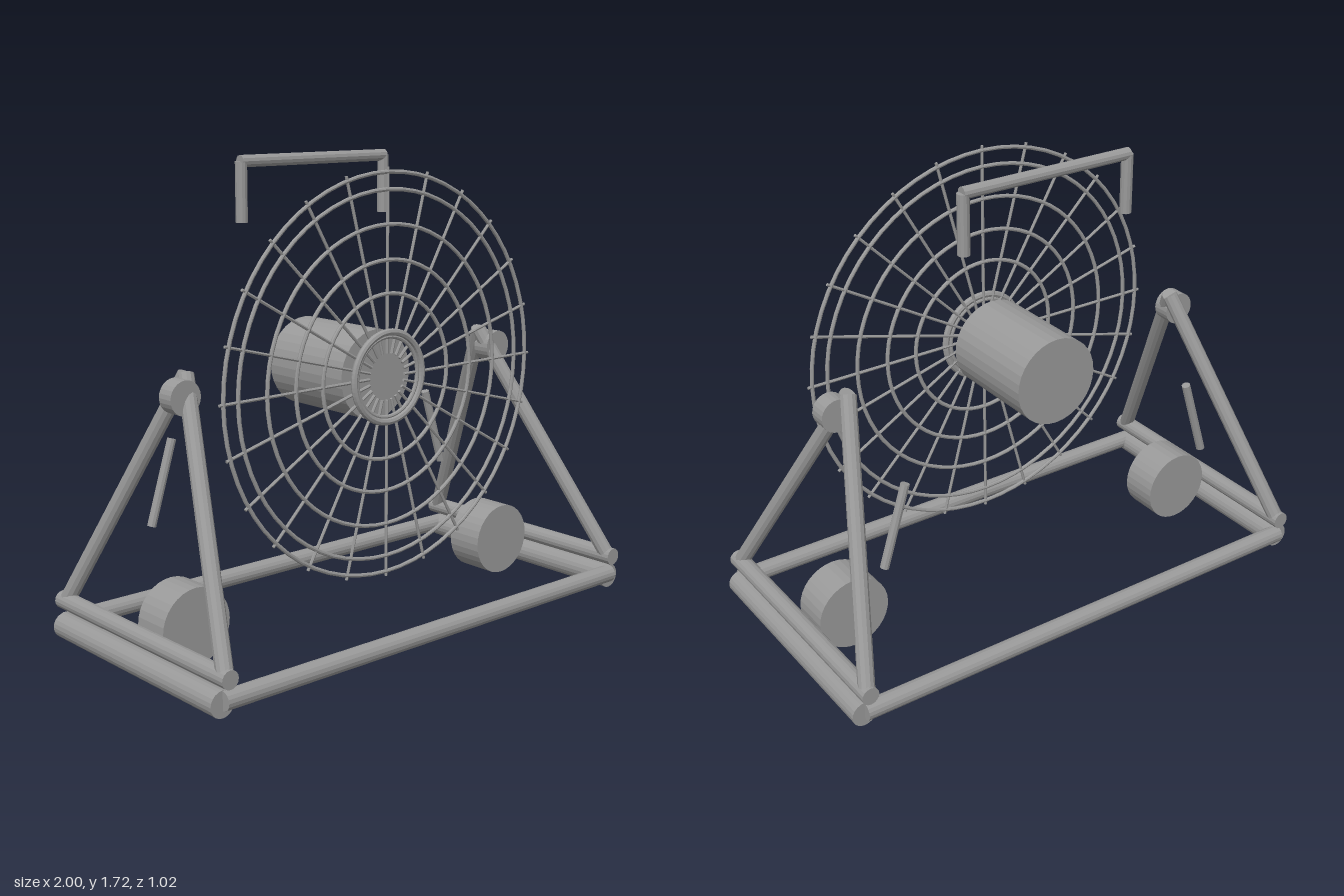
import * as THREE from 'three';

export function createModel() {
  const model = new THREE.Group();
  model.name = 'drumFan';
  const metal = new THREE.MeshStandardMaterial({ color: 0x999999 });
  metal.name = 'grey metal';
  metal.flatShading = true;
  const UP = new THREE.Vector3(0, 1, 0);

  // Straight round bar between two points
  function bar(name, a, b, radius, sides = 12, parent = model) {
    const from = new THREE.Vector3(...a), to = new THREE.Vector3(...b);
    const dir = to.clone().sub(from);
    const mesh = new THREE.Mesh(new THREE.CylinderGeometry(radius, radius, dir.length(), sides), metal);
    mesh.name = name;
    mesh.position.copy(from).add(to).multiplyScalar(0.5);
    mesh.quaternion.setFromUnitVectors(UP, dir.normalize());
    parent.add(mesh);
    return mesh;
  }

  // Floor frame: long bars at front and back
  for (const z of [-0.475, 0.475]) {
    bar(z > 0 ? 'frontBaseTube' : 'backBaseTube', [-0.952, 0.06, z], [0.952, 0.06, z], 0.034, 16);
  }

  // Side assemblies, mirrored
  for (const s of [-1, 1]) {
    const side = new THREE.Group();
    side.name = s > 0 ? 'leftStand' : 'rightStand';
    model.add(side);
    bar('footTube', [s * 0.953, 0.049, -0.475], [s * 0.953, 0.049, 0.475], 0.047, 20, side);
    bar('sideRail', [s * 0.941, 0.136, -0.503], [s * 0.941, 0.136, 0.503], 0.033, 16, side);
    for (const z of [-0.475, 0.475]) {
      bar('standLeg', [s * 0.941, 0.136, z], [s * 0.712, 1.005, -0.03], 0.03, 12, side);
    }
    bar('pivotKnob', [s * 0.757, 0.938, -0.035], [s * 0.757, 0.938, 0.033], 0.062, 24, side);
    bar('wheel', [s * 0.76, 0.147, -0.077], [s * 0.76, 0.147, 0.073], 0.14, 32, side);
    bar('braceRod', [s * 0.722, 0.424, -0.245], [s * 0.627, 0.73, -0.245], 0.017, 10, side);
  }

  // Carrying handle
  const handle = new THREE.Group();
  handle.name = 'handle';
  model.add(handle);
  bar('handleGrip', [-0.345, 1.698, -0.193], [0.345, 1.698, -0.193], 0.022, 12, handle);
  for (const s of [-1, 1]) {
    bar('handlePost', [s * 0.34, 1.482, -0.193], [s * 0.34, 1.698, -0.193], 0.022, 12, handle);
  }

  // Motor
  bar('motor', [0, 0.938, -0.257], [0, 0.938, 0.143], 0.165, 32);

  // Wire guard: concentric rings and radial spokes
  const guard = new THREE.Group();
  guard.name = 'wireGuard';
  guard.position.set(0, 0.938, 0.202);
  model.add(guard);
  function ring(name, radius, tube, z = 0) {
    const mesh = new THREE.Mesh(new THREE.TorusGeometry(radius, tube, 8, 64), metal);
    mesh.name = name;
    mesh.position.z = z;
    guard.add(mesh);
  }
  for (const r of [0.3, 0.42, 0.545, 0.667, 0.728]) ring('guardRing', r, 0.0075);
  ring('hubOuterRing', 0.163, 0.013, 0.009);
  ring('hubInnerRing', 0.146, 0.008, 0.004);
  const spokes = 24;
  for (let i = 0; i < spokes; i++) {
    const a = (i / spokes) * Math.PI * 2, c = Math.cos(a), s = Math.sin(a);
    bar('guardSpoke', [c * 0.085, s * 0.085, 0], [c * 0.745, s * 0.745, 0], 0.0058, 6, guard);
  }

  return model;
}
